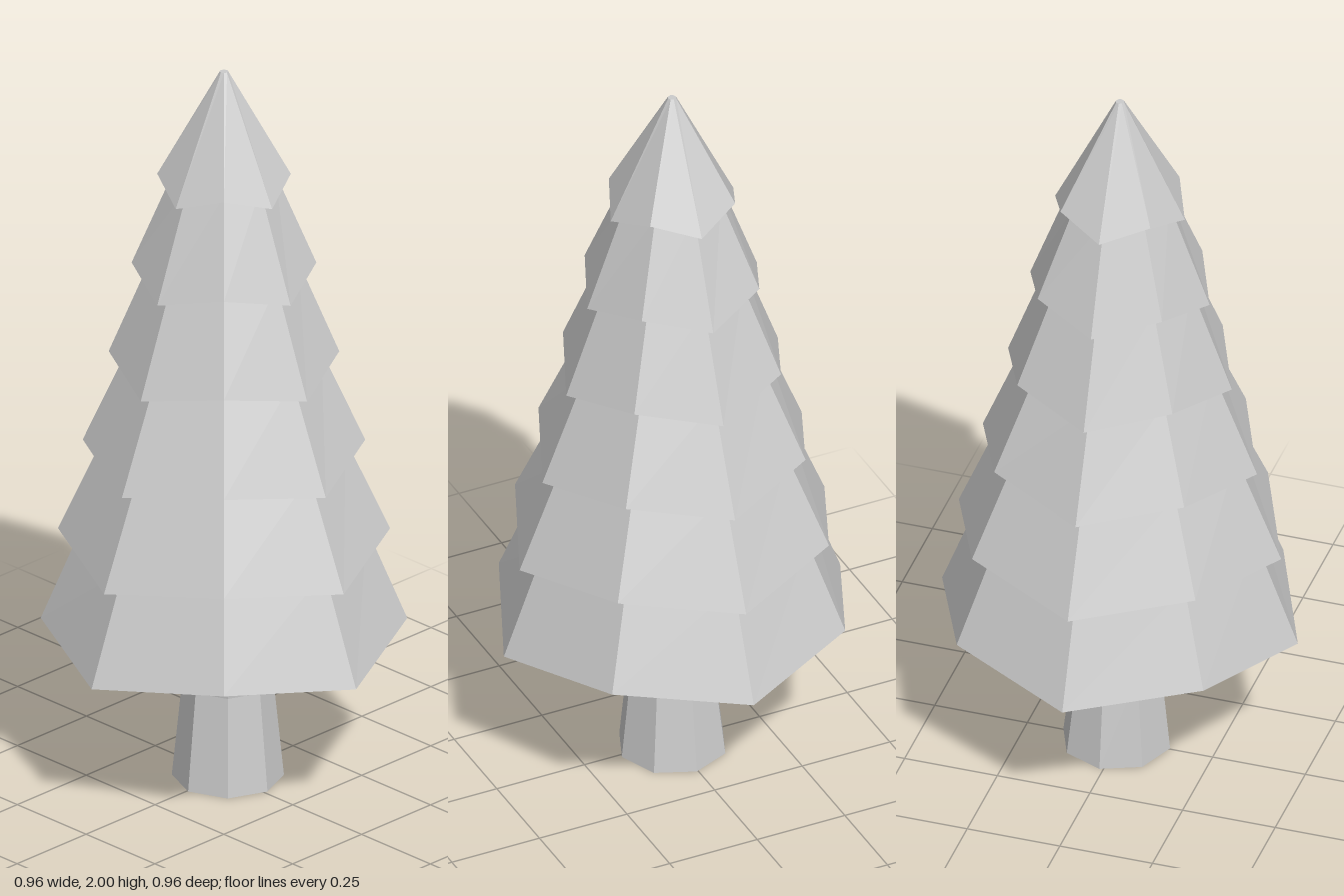
import * as THREE from 'three';

const SIDES = 8;

// Eight-sided ring; odd corners may be drawn in and raised
function ring(r, y, { cx = 0, cz = 0, oddScale = 1, oddLift = 0 } = {}) {
  return Array.from({ length: SIDES }, (_, i) => {
    const a = (i / SIDES) * Math.PI * 2;
    const odd = i % 2;
    const rr = odd ? r * oddScale : r;
    return new THREE.Vector3(cx + rr * Math.cos(a), y + odd * oddLift, cz - rr * Math.sin(a));
  });
}

// Skin a stack of rings, with optional end caps
function loft(rings, capBottom, capTop) {
  const points = [];
  const tri = (...corners) => corners.forEach((p) => points.push(p));
  const centre = (loop) =>
    loop.reduce((sum, p) => sum.add(p), new THREE.Vector3()).divideScalar(SIDES);
  const last = rings[rings.length - 1];
  const bottom = centre(rings[0]);
  const top = centre(last);
  for (let j = 0; j < SIDES; j++) {
    const k = (j + 1) % SIDES;
    for (let i = 0; i < rings.length - 1; i++) {
      const [lo, hi] = [rings[i], rings[i + 1]];
      tri(lo[j], lo[k], hi[k]);
      tri(lo[j], hi[k], hi[j]);
    }
    if (capBottom) tri(bottom, rings[0][k], rings[0][j]);
    if (capTop) tri(top, last[j], last[k]);
  }
  const geometry = new THREE.BufferGeometry().setFromPoints(points);
  geometry.computeVertexNormals();
  return geometry;
}

export function createModel() {
  const tree = new THREE.Group();
  tree.name = 'pineTree';
  const material = new THREE.MeshStandardMaterial({ color: 0xcccccc, flatShading: true });
  const add = (name, geometry, parent) => {
    const mesh = new THREE.Mesh(geometry, material);
    mesh.name = name;
    parent.add(mesh);
  };

  // Trunk, slightly off centre, with a stepped waist
  const offset = { cx: 0.01, cz: 0.004 };
  const waist = ring(0.117, 0.27, offset);
  waist.forEach((p) => {
    if (p.x - p.z > 0.06) p.y = 0.22;
  });
  add('trunk', loft([ring(0.144, 0, offset), waist, ring(0.134, 0.45, offset)], true, false), tree);

  // Foliage skirts: each rim folds under to meet the top of the one below
  const foliage = new THREE.Group();
  foliage.name = 'foliage';
  tree.add(foliage);
  const rimRadius = [0.48, 0.435, 0.37, 0.302, 0.242, 0.175];
  const rimHeight = [0.405, 0.66, 0.912, 1.163, 1.415, 1.667];
  const topRadius = [0.366, 0.312, 0.25, 0.192, 0.132, 0.011];
  const fold = 0.042;
  rimRadius.forEach((r, i) => {
    const innerRadius = i ? topRadius[i - 1] : 0.405;
    const isTop = i === rimRadius.length - 1;
    const topHeight = isTop ? 2 : rimHeight[i + 1] + fold;
    add(`foliageTier${i + 1}`, loft([
      ring(innerRadius, rimHeight[i] + fold),
      ring(r, rimHeight[i], { oddScale: 0.98, oddLift: fold }),
      ring(topRadius[i], topHeight),
    ], i === 0, isTop), foliage);
  });

  return tree;
}
